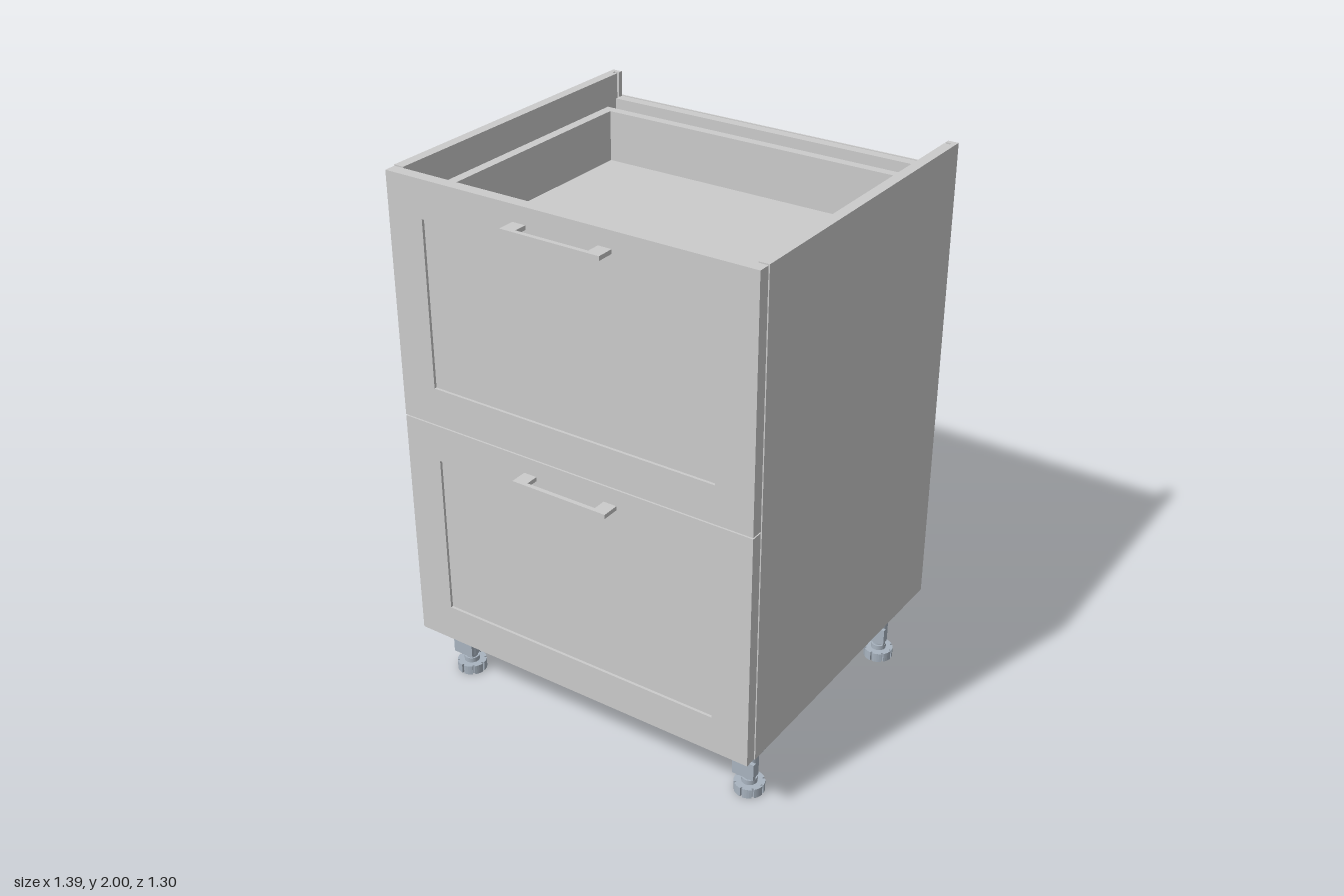
import * as THREE from 'three';

const grey = new THREE.MeshStandardMaterial({ color: 0xcccccc });
const legGrey = new THREE.MeshStandardMaterial({ color: 0xa9b4c0 });

// Box given by its minimum and maximum corners
function box(name, [x0, y0, z0], [x1, y1, z1], material = grey) {
  const mesh = new THREE.Mesh(new THREE.BoxGeometry(x1 - x0, y1 - y0, z1 - z0), material);
  mesh.name = name;
  mesh.position.set((x0 + x1) / 2, (y0 + y1) / 2, (z0 + z1) / 2);
  return mesh;
}

function polygon(points) {
  return new THREE.Shape(points.map(([x, y]) => new THREE.Vector2(x, y)));
}

function extrude(name, shape, depth, material = grey) {
  const mesh = new THREE.Mesh(
    new THREE.ExtrudeGeometry(shape, { depth, bevelEnabled: false }), material);
  mesh.name = name;
  return mesh;
}

// Upright side board with an open groove near the back of its inner face
function sidePanel(side) {
  const outer = 0.695 * side, inner = 0.657 * side, groove = 0.677 * side;
  const shape = polygon([
    [outer, -0.54], [outer, 0.643], [inner, 0.643], [inner, 0.625],
    [groove, 0.625], [groove, 0.613], [inner, 0.613], [inner, -0.54],
  ]);
  const panel = extrude(side > 0 ? 'leftSide' : 'rightSide', shape, 1.76);
  panel.rotation.x = -Math.PI / 2;
  panel.position.y = 0.24;
  return panel;
}

// Framed front with a shallow recessed panel
function drawerFront(y0, y1) {
  const group = new THREE.Group();
  group.name = 'drawerFront';
  const shape = polygon([[-0.692, y0], [0.692, y0], [0.692, y1], [-0.692, y1]]);
  const a = y0 + 0.138, b = y1 - 0.135;
  shape.holes.push(polygon([[-0.553, a], [-0.553, b], [0.553, b], [0.553, a]]));
  const frame = extrude('frontFrame', shape, 0.043);
  frame.position.z = 0.542;
  group.add(frame, box('frontPanel', [-0.553, a, 0.542], [0.553, b, 0.575]));
  return group;
}

// Flat bracket pull: two tabs and a bar
function handle(y) {
  const shape = polygon([
    [-0.185, 0.585], [-0.135, 0.585], [-0.135, 0.632], [0.135, 0.632],
    [0.135, 0.585], [0.185, 0.585], [0.185, 0.648], [-0.185, 0.648],
  ]);
  const pull = extrude('handle', shape, 0.015);
  pull.rotation.x = Math.PI / 2;
  pull.position.y = y + 0.0075;
  return pull;
}

// Open-topped drawer tray
function drawer(top) {
  const group = new THREE.Group();
  group.name = 'drawer';
  const shape = polygon([[-0.636, -0.5], [0.636, -0.5], [0.636, 0.525], [-0.636, 0.525]]);
  shape.holes.push(polygon([[-0.6, -0.465], [-0.6, 0.49], [0.6, 0.49], [0.6, -0.465]]));
  const walls = extrude('drawerWalls', shape, 0.225);
  walls.rotation.x = -Math.PI / 2;
  walls.position.y = top - 0.225;
  group.add(walls, box('drawerBottom', [-0.6, top - 0.22, -0.49], [0.6, top - 0.185, 0.465]));
  return group;
}

// Round disc with evenly spaced rim notches
function notchedDisc(name, radius, inner, notches, height, y) {
  const points = [];
  for (let i = 0; i < notches; i++) {
    const start = (i / notches) * Math.PI * 2, step = (Math.PI * 2) / notches;
    for (let k = 0; k <= 4; k++) {
      const t = start + step * (0.1 + 0.2 * k);
      points.push([radius * Math.cos(t), radius * Math.sin(t)]);
    }
    for (const f of [0.92, 1.08]) {
      const t = start + step * f;
      points.push([inner * Math.cos(t), inner * Math.sin(t)]);
    }
  }
  const disc = extrude(name, polygon(points), height, legGrey);
  disc.rotation.x = -Math.PI / 2;
  disc.position.y = y;
  return disc;
}

function cylinder(name, radius, y0, y1) {
  const mesh = new THREE.Mesh(
    new THREE.CylinderGeometry(radius, radius, y1 - y0, 24), legGrey);
  mesh.name = name;
  mesh.position.y = (y0 + y1) / 2;
  return mesh;
}

// Adjustable leg: foot, threaded stem, sleeve, clip and mounting flange
function leg(x, z) {
  const group = new THREE.Group();
  group.name = 'leg';
  group.add(
    notchedDisc('foot', 0.054, 0.046, 8, 0.036, 0),
    cylinder('stem', 0.022, 0.03, 0.08),
    cylinder('stemCollar', 0.028, 0.036, 0.055),
    cylinder('sleeve', 0.03, 0.07, 0.2),
    cylinder('sleeveCollar', 0.034, 0.16, 0.185),
    box('clipArm', [-0.012, 0.095, 0.02], [0.012, 0.135, 0.045], legGrey),
    box('clip', [-0.042, 0.082, 0.032], [0.042, 0.148, 0.046], legGrey),
    notchedDisc('flange', 0.056, 0.044, 6, 0.042, 0.19),
    cylinder('flangePlate', 0.058, 0.23, 0.24),
  );
  group.position.set(x, 0, z);
  return group;
}

export function createModel() {
  const model = new THREE.Group();
  model.name = 'drawerCabinet';

  // Carcass
  model.add(
    sidePanel(1), sidePanel(-1),
    box('bottomPanel', [-0.657, 0.24, -0.643], [0.657, 0.276, 0.54]),
    box('backRail', [-0.657, 1.81, -0.643], [0.657, 1.908, -0.605]),
    box('backPanel', [-0.69, 0.252, -0.65], [0.69, 1.91, -0.643]),
  );

  // Two stacked drawers
  for (const [y0, y1] of [[0.241, 1.117], [1.122, 1.997]]) {
    model.add(drawerFront(y0, y1), handle(y1 - 0.066), drawer(y1 - 0.094));
  }

  // Legs
  for (const x of [-0.61, 0.61]) for (const z of [-0.49, 0.43]) model.add(leg(x, z));

  return model;
}
